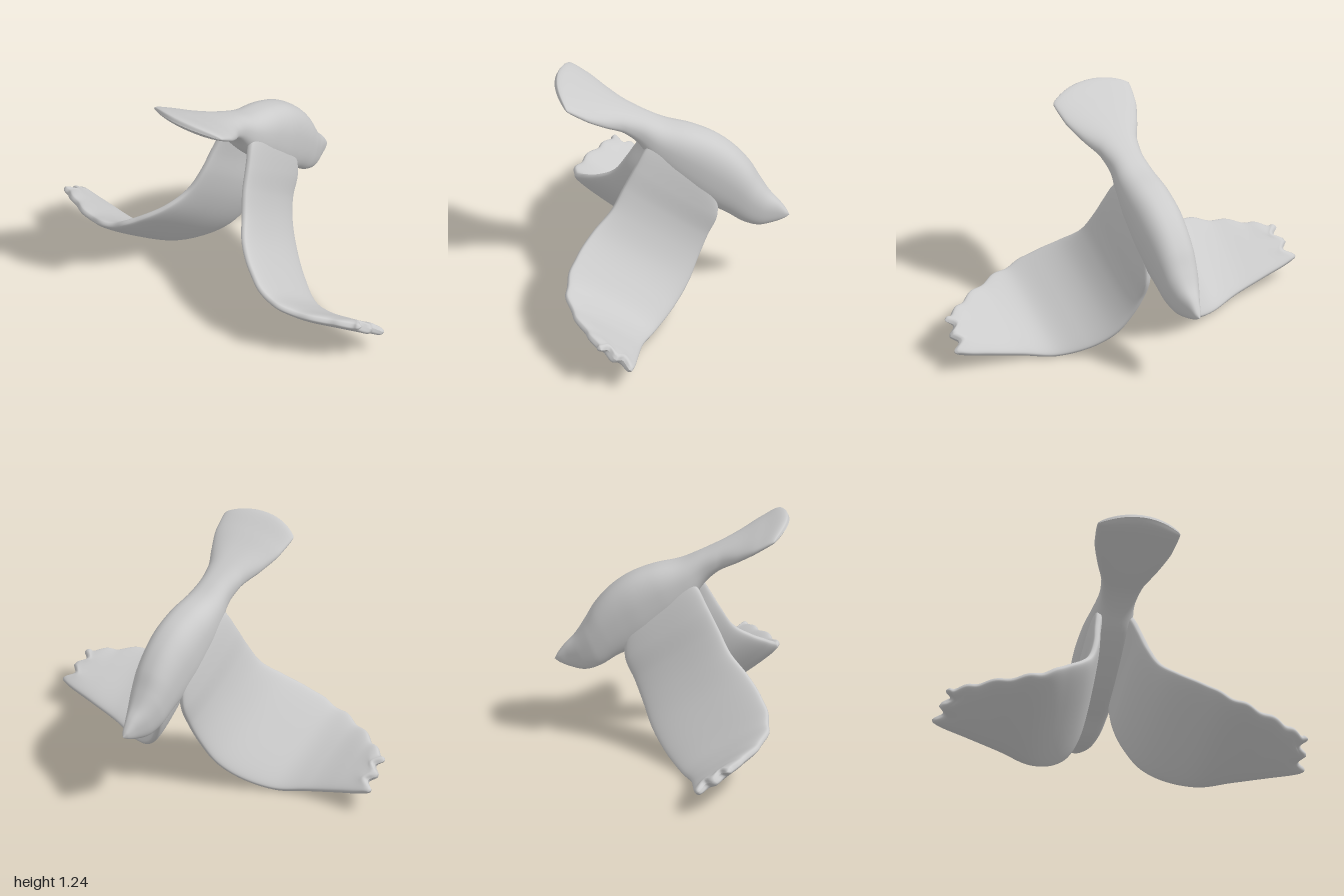
import * as THREE from 'three';

const { lerp, smoothstep } = THREE.MathUtils;
const V = (x, y, z) => new THREE.Vector3(x, y, z);
const spline = (pts) => new THREE.CatmullRomCurve3(pts.map((p) => V(...p)));
const pow = (v, e) => Math.sign(v) * Math.abs(v) ** e;

// Skin a list of closed rings with a smooth surface facing outward
function loft(rings) {
  const n = rings[0].length;
  const pos = rings.flat().flatMap((p) => [p.x, p.y, p.z]);
  const index = [];
  let volume = 0;
  const at = (i) => rings[Math.floor(i / n)][i % n];
  const tri = (a, b, c) => {
    index.push(a, b, c);
    volume += at(a).dot(at(b).clone().cross(at(c)));
  };
  for (let i = 0; i < rings.length - 1; i++) {
    for (let j = 0; j < n; j++) {
      const k = (j + 1) % n;
      const a = i * n + j, b = i * n + k, c = a + n, d = b + n;
      tri(a, c, b);
      tri(b, c, d);
    }
  }
  if (volume < 0) index.reverse();
  const g = new THREE.BufferGeometry();
  g.setAttribute('position', new THREE.Float32BufferAttribute(pos, 3));
  g.setIndex(index);
  g.computeVertexNormals();
  return g;
}

// Body from tail fan to beak
function bodyGeometry() {
  const stations = [
    // top z, top y, bottom z, bottom y, half width, bow of the fan
    [0.60, 1.225, 0.60, 1.225, 0.21, 0.06],
    [0.585, 1.245, 0.575, 1.19, 0.222, 0.055],
    [0.47, 1.195, 0.455, 1.10, 0.207, 0.035],
    [0.36, 1.14, 0.34, 1.02, 0.162, 0.015],
    [0.25, 1.09, 0.24, 0.955, 0.112, 0],
    [0.14, 1.04, 0.17, 0.885, 0.095, 0],
    [0.04, 0.995, 0.11, 0.80, 0.108, 0],
    [-0.10, 0.96, 0.02, 0.70, 0.122, 0],
    [-0.22, 0.91, -0.10, 0.59, 0.125, 0],
    [-0.32, 0.835, -0.20, 0.52, 0.118, 0],
    [-0.40, 0.74, -0.28, 0.475, 0.108, 0],
    [-0.45, 0.65, -0.36, 0.42, 0.094, 0],
    [-0.50, 0.57, -0.44, 0.39, 0.068, 0],
    [-0.55, 0.515, -0.52, 0.40, 0.037, 0],
    [-0.585, 0.465, -0.575, 0.42, 0.018, 0],
    [-0.60, 0.435, -0.60, 0.435, 0, 0],
  ];
  const top = spline(stations.map((s) => [0, s[1], s[0]]));
  const bottom = spline(stations.map((s) => [0, s[3], s[2]]));
  const width = spline(stations.map((s) => [s[4], s[5], 0]));
  const rings = [];
  for (let i = 0; i <= 90; i++) {
    const u = i / 90;
    const t = top.getPoint(u), b = bottom.getPoint(u), w = width.getPoint(u);
    // flanks run straight down into the wings, the tail stays rounder
    const flank = lerp(0.55, 0.9, smoothstep(b.z, 0.1, 0.25));
    const ring = [];
    for (let j = 0; j < 48; j++) {
      const a = (j / 48) * Math.PI * 2;
      const s = Math.sin(a);
      const c = pow(Math.cos(a), s < 0 ? flank : 0.8);
      const p = b.clone().lerp(t, 0.5 + 0.5 * pow(s, 0.85));
      p.x = w.x * c;
      p.z -= w.y * c * c;
      p.y -= w.y * c * c * 0.5;
      ring.push(p);
    }
    rings.push(ring);
  }
  return loft(rings);
}

// Wing: a thick sheet between its rear edge and its front edge, rooted inside the body, drooping and flaring out
function wingGeometry(side) {
  const rear = spline([
    [0.05, 0.965, 0.045], [0.085, 0.885, 0.13], [0.112, 0.785, 0.185], [0.138, 0.67, 0.245],
    [0.182, 0.56, 0.305], [0.255, 0.475, 0.395], [0.37, 0.395, 0.475], [0.50, 0.32, 0.518],
    [0.65, 0.28, 0.498], [0.80, 0.26, 0.43], [0.90, 0.245, 0.365], [0.95, 0.235, 0.325],
  ]);
  const front = spline([
    [0.06, 0.80, -0.17], [0.085, 0.63, -0.225], [0.095, 0.49, -0.235], [0.103, 0.37, -0.185],
    [0.137, 0.26, -0.14], [0.205, 0.145, -0.09], [0.31, 0.06, -0.02], [0.46, 0.008, 0.07],
    [0.62, 0.032, 0.125], [0.80, 0.075, 0.145], [0.92, 0.105, 0.155], [0.98, 0.125, 0.165],
  ]);
  const rings = [];
  for (let i = 0; i <= 120; i++) {
    const u = i / 120;
    const r = rear.getPoint(u), f = front.getPoint(u);
    const span = rear.getTangent(u).add(front.getTangent(u)).normalize();
    const chord = r.clone().sub(f);
    const normal = chord.clone().cross(span).normalize();
    // feather scallops along the rear edge
    const feather = smoothstep(u, 0.5, 0.7);
    r.addScaledVector(chord.normalize(), 0.008 * feather * Math.cos(u * 64));
    // thickness, closing at the tip
    const close = Math.sqrt(Math.max(0, 1 - (Math.max(0, u - 0.95) / 0.05) ** 2));
    const half = lerp(0.034, 0.028, u) * close;
    const finger = smoothstep(u, 0.84, 1);
    const ring = [];
    for (let j = 0; j < 56; j++) {
      const a = (j / 56) * Math.PI * 2;
      const v = 0.5 + 0.5 * pow(Math.cos(a), 0.8);
      const p = f.clone().lerp(r, v);
      p.addScaledVector(normal, half * pow(Math.sin(a), 0.6));
      // finger feathers at the tip
      p.x += 0.02 * finger * Math.cos((v - 0.08) * Math.PI * 2 * 2.2);
      p.x *= side;
      ring.push(p);
    }
    rings.push(ring);
  }
  return loft(rings);
}

export function createModel() {
  const group = new THREE.Group();
  group.name = 'bird';
  const material = new THREE.MeshStandardMaterial({ color: 0xcccccc, side: THREE.DoubleSide });
  const add = (name, geometry) => {
    const mesh = new THREE.Mesh(geometry, material);
    mesh.name = name;
    group.add(mesh);
  };
  add('body', bodyGeometry());
  add('leftWing', wingGeometry(1));
  add('rightWing', wingGeometry(-1));
  return group;
}
